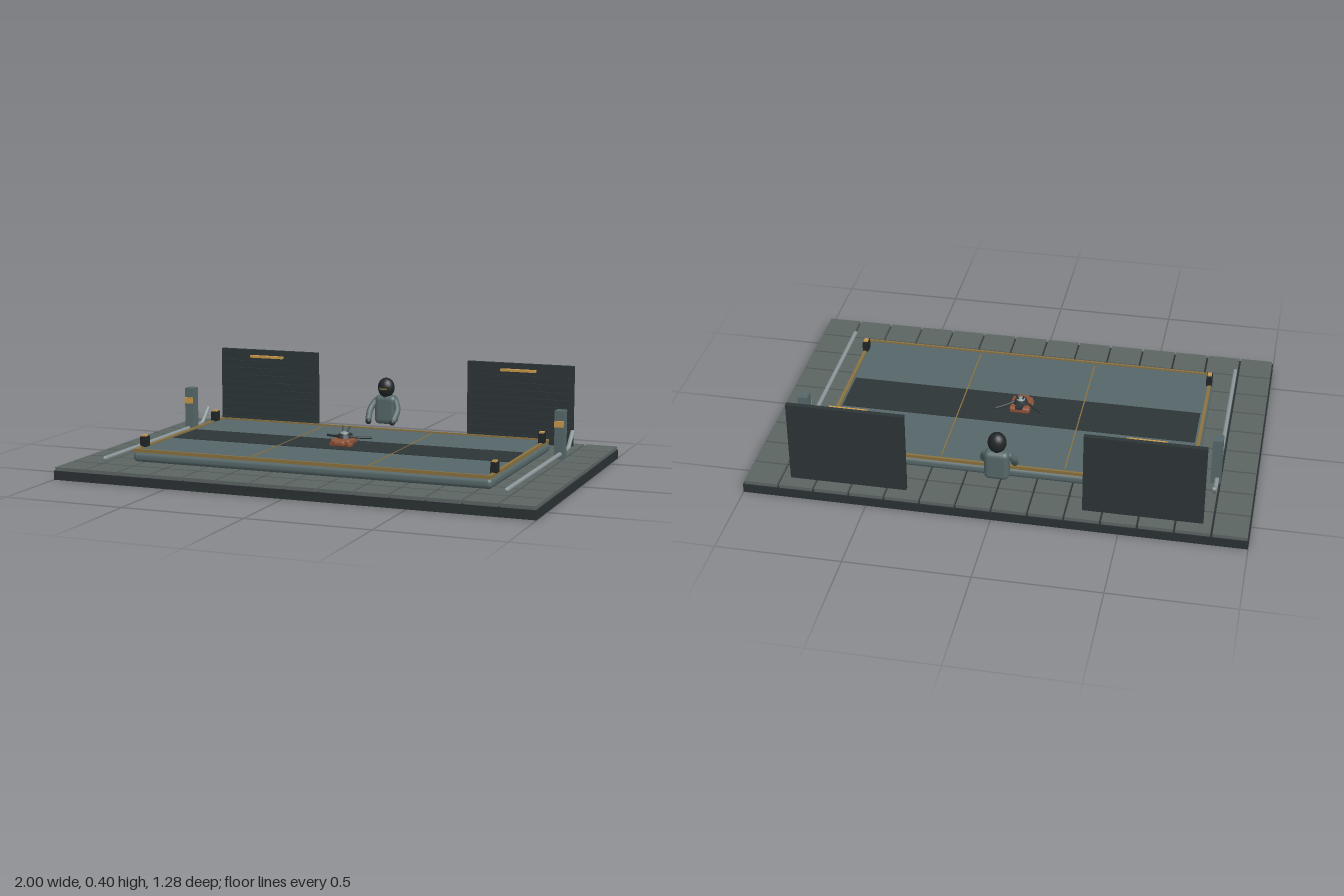
import * as THREE from 'three';
import { RoundedBoxGeometry } from 'three/addons/geometries/RoundedBoxGeometry.js';

const mat = (color) => new THREE.MeshStandardMaterial({ color });
const M = {
  base: mat(0x2b3133), tile: mat(0x5c6563), steel: mat(0x566769), dark: mat(0x2d3537),
  black: mat(0x202527), gold: mat(0xc8994a), trim: mat(0x8a713f), rust: mat(0x8c5238), pipe: mat(0x8b9698),
};

export function createModel() {
  const root = new THREE.Group();

  const add = (name, geo, m, x = 0, y = 0, z = 0, parent = root) => {
    const mesh = new THREE.Mesh(geo, m);
    mesh.name = name;
    mesh.position.set(x, y, z);
    parent.add(mesh);
    return mesh;
  };
  const box = (name, w, h, d, m, x, y, z, parent) =>
    add(name, new THREE.BoxGeometry(w, h, d), m, x, y, z, parent);
  const round = (name, w, h, d, r, m, x, y, z, parent) =>
    add(name, new RoundedBoxGeometry(w, h, d, 3, r), m, x, y, z, parent);
  const tube = (name, pts, r, m, parent, smooth = true) => {
    const v = pts.map((p) => new THREE.Vector3(...p));
    let curve = new THREE.CatmullRomCurve3(v);
    if (!smooth) {
      curve = new THREE.CurvePath();
      for (let i = 1; i < v.length; i++) curve.add(new THREE.LineCurve3(v[i - 1], v[i]));
    }
    const mesh = add(name, new THREE.TubeGeometry(curve, 24, r, 10), m, 0, 0, 0, parent);
    for (const p of [v[0], v[v.length - 1]])
      add(name + 'End', new THREE.SphereGeometry(r, 10, 8), m, p.x, p.y, p.z, parent);
    return mesh;
  };

  // Foundation slab and paving
  box('foundation', 2, 0.037, 1.284, M.base, 0, 0.0185, 0);
  const paving = new THREE.Group();
  paving.name = 'paving';
  root.add(paving);
  const px = 2 / 14, pz = 1.284 / 9;
  for (let i = 0; i < 14; i++)
    for (let j = 0; j < 9; j++)
      box('pavingTile', px - 0.009, 0.016, pz - 0.009, M.tile,
        -1 + px * (i + 0.5), 0.043, -0.642 + pz * (j + 0.5), paving);

  // Raised platform: body, deck, dark centre strip, seams
  round('platformBody', 1.525, 0.042, 0.84, 0.018, M.steel, 0, 0.071, 0);
  box('platformDeck', 1.49, 0.012, 0.81, M.steel, 0, 0.092, 0);
  box('centreStrip', 1.47, 0.003, 0.215, M.dark, 0, 0.0985, -0.003);
  for (const x of [-0.25, 0.25]) box('deckSeam', 0.005, 0.004, 0.77, M.trim, x, 0.0985, -0.003);

  // Trim around the platform edge
  for (const s of [-1, 1]) {
    box('sideTrim', 0.014, 0.014, 0.83, M.trim, s * 0.75, 0.097, 0);
    box('longTrim', 1.514, 0.014, 0.01, M.trim, 0, 0.097, s * 0.41);
  }

  for (const s of [-1, 1]) {
    // Corner lamps
    for (const z of [-0.335, 0.335]) {
      box('lampBody', 0.024, 0.042, 0.04, M.black, s * 0.748, 0.122, z);
      box('lampCap', 0.018, 0.007, 0.022, M.gold, s * 0.748, 0.146, z);
    }

    // Side post with light and its floor rail
    box('sidePost', 0.04, 0.202, 0.048, M.steel, s * 0.84, 0.151, -0.285);
    box('postLight', 0.038, 0.026, 0.01, M.gold, s * 0.84, 0.198, -0.258);
    tube('floorRail', [[s * 0.845, 0.073, 0.5], [s * 0.845, 0.073, -0.2],
      [s * 0.845, 0.073, -0.395], [s * 0.845, 0.133, -0.46]], 0.009, M.pipe, root, false);

    // Ribbed shutter panel with a light bar
    const shutter = new THREE.Group();
    shutter.name = 'shutter';
    shutter.position.set(s * 0.585, 0, 0);
    root.add(shutter);
    box('shutterPanel', 0.47, 0.345, 0.02, M.dark, 0, 0.2225, -0.57, shutter);
    for (let i = 0; i < 9; i++)
      box('shutterRib', 0.462, 0.01, 0.01, M.dark, 0, 0.08 + i * 0.0325, -0.557, shutter);
    box('shutterLight', 0.155, 0.01, 0.02, M.gold, 0, 0.369, -0.531, shutter);
  }

  // Attendant reaching toward the platform
  const figure = new THREE.Group();
  figure.name = 'attendant';
  root.add(figure);
  round('torso', 0.1, 0.128, 0.058, 0.022, M.steel, 0, 0.172, -0.502, figure);
  add('neck', new THREE.CylinderGeometry(0.018, 0.022, 0.02, 14), M.black, 0, 0.236, -0.499, figure);
  add('head', new THREE.SphereGeometry(0.038, 24, 16), M.black, 0, 0.269, -0.497, figure)
    .scale.set(0.98, 1.13, 0.93);
  box('visor', 0.042, 0.016, 0.012, M.black, 0, 0.267, -0.465, figure);
  box('visorSlit', 0.034, 0.006, 0.004, M.trim, 0, 0.267, -0.459, figure);
  for (const s of [-1, 1]) {
    tube('arm', [[s * 0.046, 0.21, -0.495], [s * 0.062, 0.175, -0.468],
      [s * 0.058, 0.135, -0.43]], 0.014, M.steel, figure);
    add('hand', new THREE.SphereGeometry(0.013, 12, 10), M.dark, s * 0.055, 0.128, -0.423, figure);
  }

  // Small machine at the centre of the deck
  const machine = new THREE.Group();
  machine.name = 'machine';
  root.add(machine);
  round('machineBody', 0.085, 0.026, 0.1, 0.009, M.rust, 0, 0.117, 0.005, machine);
  round('machineNose', 0.05, 0.024, 0.03, 0.009, M.rust, 0, 0.115, 0.056, machine);
  for (const s of [-1, 1]) {
    round('machineFoot', 0.022, 0.018, 0.035, 0.006, M.rust, s * 0.036, 0.109, 0.036, machine);
    tube('machineArm', [[s * 0.018, 0.138, 0], [s * 0.055, 0.13, -0.025], [s * 0.096, 0.127, -0.054]],
      0.005, M.dark, machine);
    tube('machineAerial', [[s * 0.008, 0.15, -0.005], [s * 0.016, 0.174, -0.02]], 0.003, M.dark, machine);
  }
  add('machineTurret', new THREE.CylinderGeometry(0.024, 0.031, 0.018, 16), M.dark, 0, 0.138, 0, machine);
  add('machineDome', new THREE.SphereGeometry(0.018, 16, 8, 0, Math.PI * 2, 0, Math.PI / 2),
    M.pipe, 0, 0.146, 0, machine).scale.y = 0.6;
  box('machineTail', 0.03, 0.012, 0.04, M.dark, 0, 0.136, -0.035, machine);

  return root;
}
